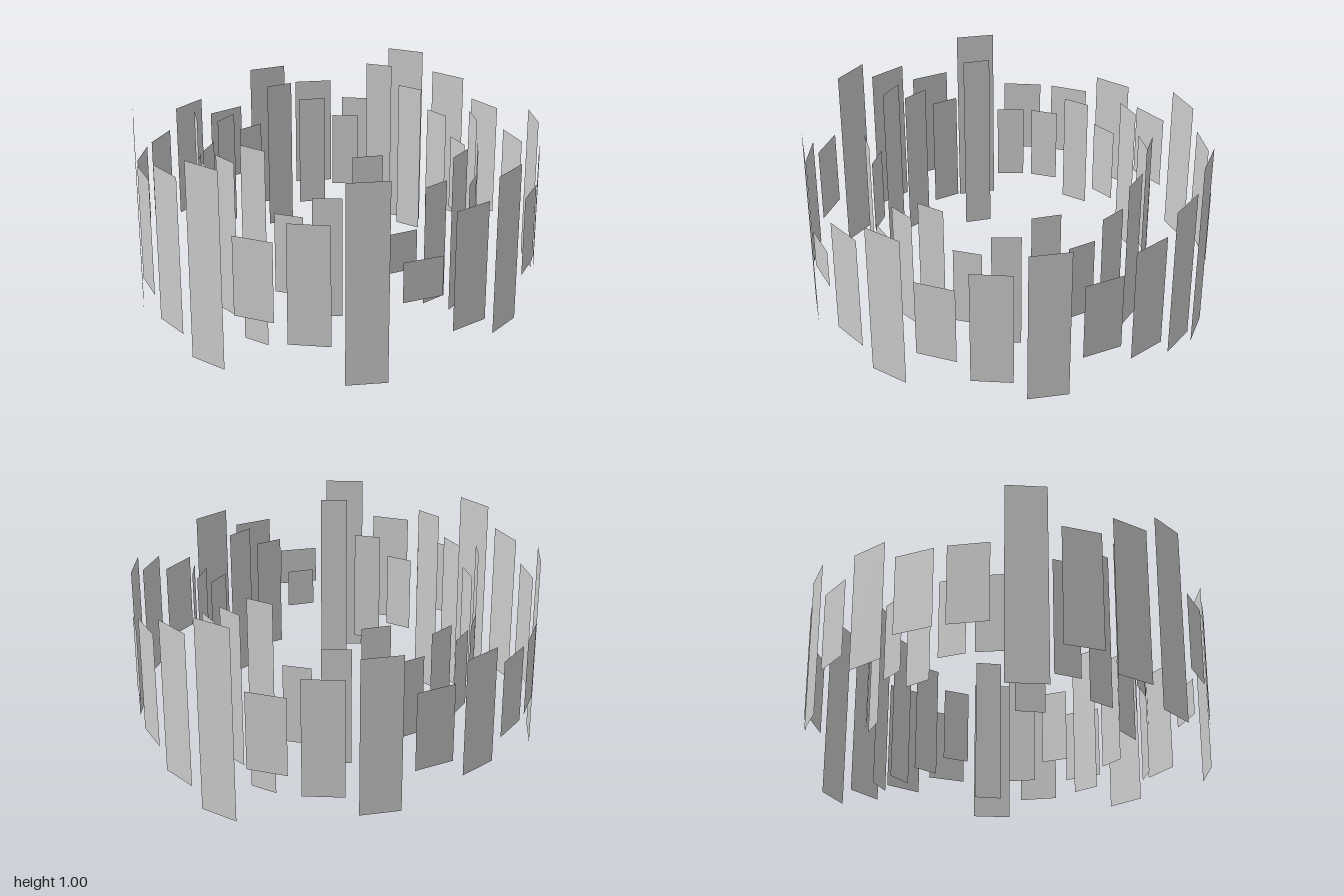
import * as THREE from 'three';

// Panel heights in tenths, every 15 degrees from the front (+z) towards +x
const OUTER = [8, 10, 4, 6, 10, 2, 6, 8, 4, 6, 8, 4, 6, 8, 10, 4, 6, 8, 4, 6, 4, 4, 10, 6];
const INNER = [8, 10, 4, 6, 10, 2, 6, 8, 4, 6, 8, 4, 6, 8, 10, 4, 6, 8, 4, 6, 4, 4, 10, 6];

const material = new THREE.MeshStandardMaterial({ color: 0xcccccc, side: THREE.DoubleSide });

// A ring of thin upright panels, each facing outwards and centred at half height
function panelRing(name, heights, radius, width, turn) {
  const ring = new THREE.Group();
  ring.name = name;
  heights.forEach((h, i) => {
    const angle = (i / heights.length) * Math.PI * 2 + turn;
    const panel = new THREE.Mesh(new THREE.PlaneGeometry(width, h / 10), material);
    panel.name = name + 'Panel' + (i + 1);
    panel.position.set(Math.sin(angle) * radius, 0.5, Math.cos(angle) * radius);
    panel.rotation.y = angle;
    ring.add(panel);
  });
  return ring;
}

export function createModel() {
  const model = new THREE.Group();
  model.name = 'panelRings';
  model.add(panelRing('outerRing', OUTER, 1, 0.2, 0));
  // Smaller ring, turned a little against the outer one
  model.add(panelRing('innerRing', INNER, 0.7, 0.14, THREE.MathUtils.degToRad(3.54)));
  return model;
}
